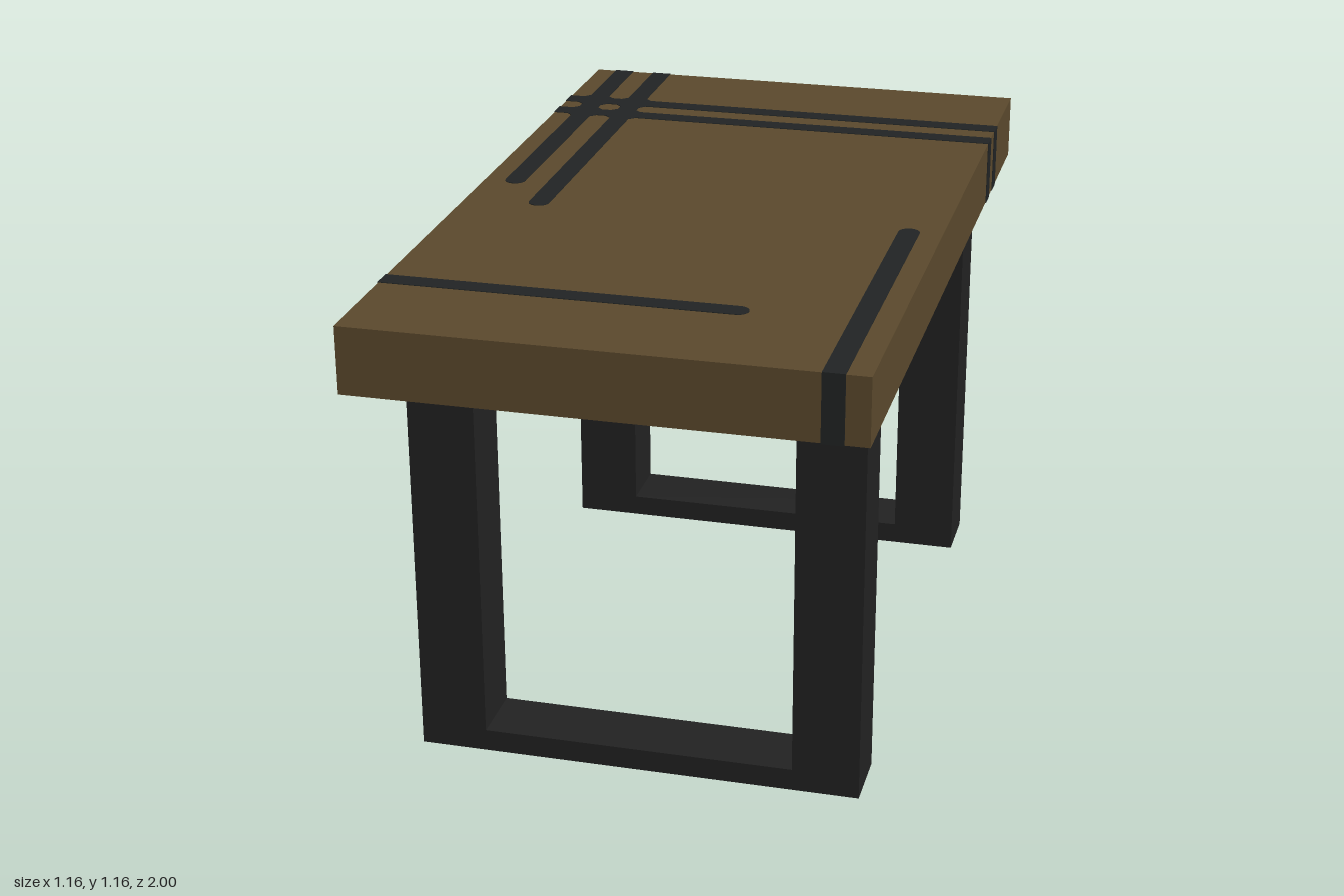
import * as THREE from 'three';

const W = 0.578, L = 1, TOP = 1.157, UNDER = 1.0; // tabletop half width, half length, heights
const E = 0.0015; // how far the inlay stands proud of the wood
const R = 0.025; // half width of an inlay strip

export function createModel() {
  const wood = new THREE.MeshStandardMaterial({ color: 0x5c4a2d });
  wood.name = 'walnutWood';
  const metal = new THREE.MeshStandardMaterial({ color: 0x222222 });
  metal.name = 'blackMetal';
  const resin = new THREE.MeshStandardMaterial({ color: 0x212425 });
  resin.name = 'darkResin';

  const model = new THREE.Group();
  model.name = 'coffeeTable';

  const addMesh = (parent, name, geometry, material) => {
    const mesh = new THREE.Mesh(geometry, material);
    mesh.name = name;
    parent.add(mesh);
    return mesh;
  };
  const addBox = (parent, name, material, x0, x1, y0, y1, z0, z1) => {
    const mesh = addMesh(parent, name, new THREE.BoxGeometry(x1 - x0, y1 - y0, z1 - z0), material);
    mesh.position.set((x0 + x1) / 2, (y0 + y1) / 2, (z0 + z1) / 2);
  };

  // Tabletop slab
  addBox(model, 'tabletop', wood, -W, W, UNDER, TOP, -L, L);

  // Inlay strips running through the full thickness of the slab
  const inlay = new THREE.Group();
  inlay.name = 'inlay';
  model.add(inlay);
  const addInlay = (name, shape) => {
    const geometry = new THREE.ExtrudeGeometry(shape, {
      depth: TOP - UNDER + 2 * E, bevelEnabled: false, curveSegments: 6,
    });
    geometry.rotateX(Math.PI / 2); // shape y becomes z, depth points down
    geometry.translate(0, TOP + E, 0);
    return addMesh(inlay, name, geometry, resin);
  };
  // A strip of the given length along +x, its far end square or rounded
  const strip = (length, rounded) => {
    const s = new THREE.Shape();
    s.moveTo(0, -R);
    if (rounded) {
      s.lineTo(length - R, -R);
      s.absarc(length - R, 0, R, -Math.PI / 2, Math.PI / 2, false);
    } else {
      s.lineTo(length, -R);
      s.lineTo(length, R);
    }
    s.lineTo(0, R);
    s.closePath();
    return s;
  };
  const rowsZ = [-0.712, -0.607], columns = [[-0.503, 0.01], [-0.397, 0.155]];

  // Strips across the width
  for (const z of rowsZ) {
    addInlay('crossStrip', strip(2 * (W + E), false)).position.set(-W - E, 0, z);
  }
  addInlay('shortCrossStrip', strip(0.255 + W + E, true)).position.set(-W - E, 0, 0.708);

  // Strips along the length, from the back edge and from the front edge
  for (const [x, end] of columns) {
    const mesh = addInlay('lengthStrip', strip(end + L + E, true));
    mesh.rotation.y = -Math.PI / 2;
    mesh.position.set(x, 0, -L - E);
  }
  const frontStrip = addInlay('frontLengthStrip', strip(L + E - 0.105, true));
  frontStrip.rotation.y = Math.PI / 2;
  frontStrip.position.set(0.499, 0, L + E);

  // Diamonds that chamfer the corners where strips cross
  const d = 0.065;
  const diamond = new THREE.Shape([
    new THREE.Vector2(d, 0), new THREE.Vector2(0, d), new THREE.Vector2(-d, 0), new THREE.Vector2(0, -d),
  ]);
  for (const z of rowsZ) {
    for (const [x] of columns) addInlay('crossing', diamond).position.set(x, 0, z);
  }

  // U-shaped leg frames, front and back
  for (const side of [1, -1]) {
    const frame = new THREE.Group();
    frame.name = side > 0 ? 'frontLegFrame' : 'backLegFrame';
    frame.position.z = side * 0.659;
    model.add(frame);
    const half = 0.078;
    addBox(frame, 'leftLeg', metal, 0.368, 0.525, 0, UNDER, -half, half);
    addBox(frame, 'rightLeg', metal, -0.525, -0.368, 0, UNDER, -half, half);
    addBox(frame, 'footBar', metal, -0.368, 0.368, 0, 0.053, -half, half);
  }

  return model;
}
